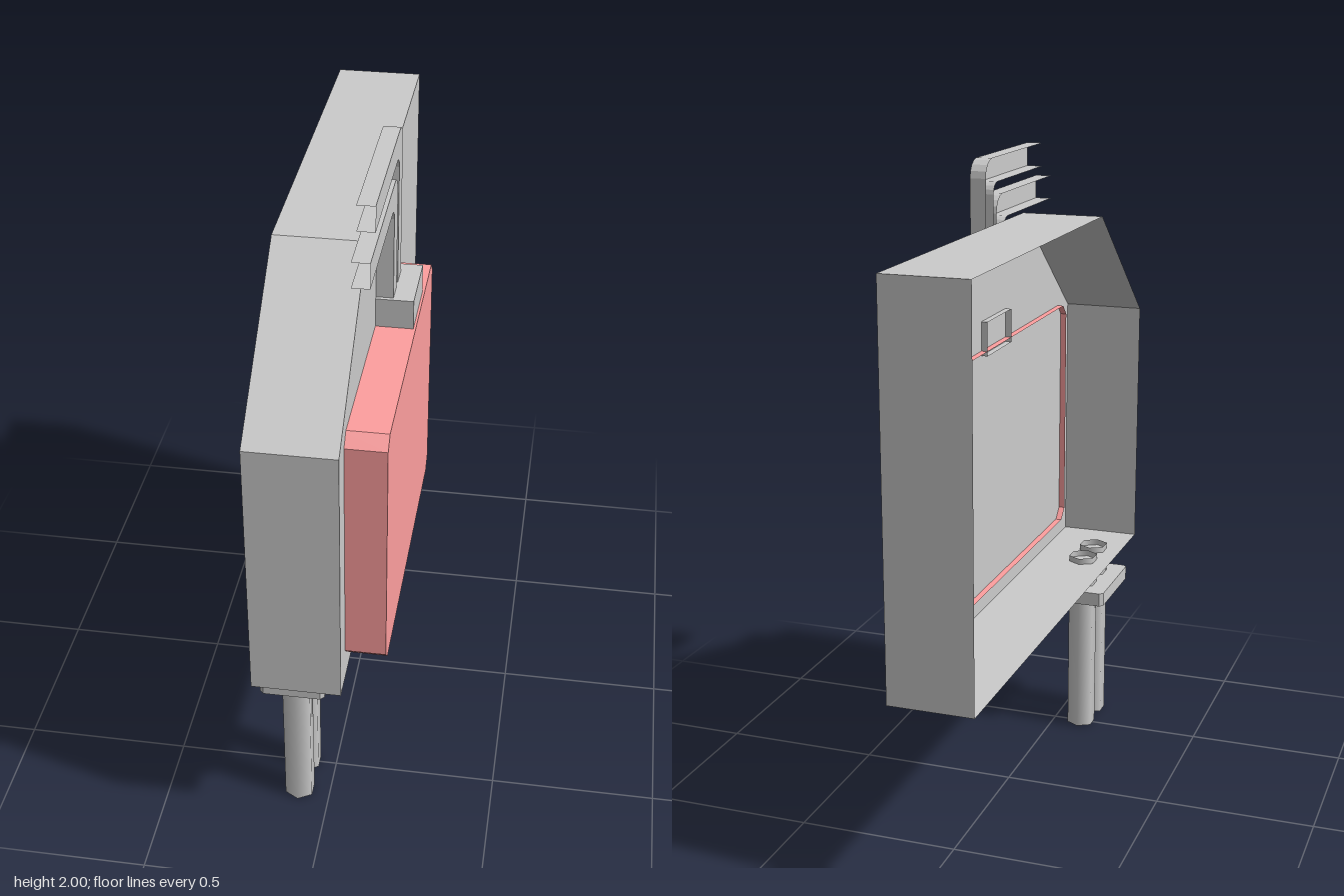
import * as THREE from 'three';
import { mergeGeometries } from 'three/addons/utils/BufferGeometryUtils.js';

const grey = new THREE.MeshStandardMaterial({ color: 0xcccccc, flatShading: true, side: THREE.DoubleSide });
const pipeGrey = new THREE.MeshStandardMaterial({ color: 0xcccccc, side: THREE.DoubleSide });
const red = new THREE.MeshStandardMaterial({ color: 0xff9f9f, flatShading: true, side: THREE.DoubleSide });

// Thin open-backed tray: a [z, y] outline (anticlockwise seen from +x) with walls
// from x0 to x1 and a face at x1. The face may be inset; edges in skip get no wall.
function tray(outline, x0, x1, { inset = 0, skip = [] } = {}) {
  const back = outline.map(([z, y]) => new THREE.Vector2(-z, y));
  const c = new THREE.Box2().setFromPoints(back).getCenter(new THREE.Vector2());
  const front = back.map(p => new THREE.Vector2(
    p.x - inset * Math.sign(p.x - c.x), p.y - inset * Math.sign(p.y - c.y)));
  const pos = [];
  back.forEach((a, i) => {
    if (skip.includes(i)) return;
    const j = (i + 1) % back.length;
    const b = back[j], A = front[i], B = front[j];
    pos.push(a.x, a.y, x0, b.x, b.y, x0, B.x, B.y, x1);
    pos.push(a.x, a.y, x0, B.x, B.y, x1, A.x, A.y, x1);
  });
  const walls = new THREE.BufferGeometry();
  walls.setAttribute('position', new THREE.Float32BufferAttribute(pos, 3));
  walls.computeVertexNormals();
  const face = new THREE.ShapeGeometry(new THREE.Shape(front)).toNonIndexed();
  face.deleteAttribute('uv');
  face.translate(0, 0, x1);
  return mergeGeometries([walls, face]).rotateY(Math.PI / 2);
}

// Rectangle outline with cut corners
function rect(zMin, zMax, yMin, yMax, cut = 0) {
  if (!cut) return [[zMax, yMin], [zMin, yMin], [zMin, yMax], [zMax, yMax]];
  return [
    [zMax - cut, yMin], [zMin + cut, yMin], [zMin, yMin + cut], [zMin, yMax - cut],
    [zMin + cut, yMax], [zMax - cut, yMax], [zMax, yMax - cut], [zMax, yMin + cut],
  ];
}

// Quarter bend from the upright run to the level run
function bend(z, y, r) {
  return Array.from({ length: 5 }, (_, i) => {
    const a = (i / 4) * Math.PI / 2;
    return [z + r - r * Math.cos(a), y - r + r * Math.sin(a)];
  });
}

// Bent channel, open at its ends and towards the panel
function conduit(z, top, zEnd) {
  const t = 0.067, h = 0.074, base = 1.5;
  const outline = [
    [z, base], ...bend(z, top, 0.055), [zEnd, top],
    [zEnd, top - h], ...bend(z + t, top - h, 0.035).reverse(), [z + t, base],
  ];
  return tray(outline, 0.07, 0.12, { skip: [6, outline.length - 1] });
}

export function createModel() {
  const model = new THREE.Group();
  const add = (name, geometry, material = grey) => {
    const mesh = new THREE.Mesh(geometry, material);
    mesh.name = name;
    model.add(mesh);
    return mesh;
  };

  // Open-backed housing with a sloped front corner
  add('housing', tray([[0.82, 0.6], [-0.82, 0.6], [-0.82, 1.8], [0.34, 1.8], [0.82, 1.42]], -0.19, 0.07));

  // Covers on the side panel; the large one pokes a little through it
  add('largeCover', tray(rect(-0.255, 0.74, 0.665, 1.435, 0.035), 0.05, 0.187), red);
  add('smallCover', tray(rect(-0.74, -0.512, 0.675, 0.86), 0.07, 0.105, { inset: 0.01 }), red);

  // Socket block and the two bent conduits rising from it
  add('conduitSocket', tray(rect(-0.05, 0.167, 1.42, 1.525), 0.05, 0.18));
  add('tallConduit', conduit(-0.005, 2, 0.525));
  add('shortConduit', conduit(0.088, 1.885, 0.615));

  // Six-sided open pipes below
  for (const [name, z] of [['frontPipe', 0.62], ['rearPipe', 0.498]]) {
    add(name, new THREE.CylinderGeometry(0.048, 0.048, 0.62, 6, 1, true), pipeGrey)
      .position.set(-0.095, 0.31, z);
  }

  // Clamp plate holding the pipes
  const clampShape = new THREE.Shape(
    rect(-0.153, 0.153, -0.097, 0.097, 0.012).map(([z, x]) => new THREE.Vector2(x, -z)));
  const clamp = new THREE.ExtrudeGeometry(clampShape, { depth: 0.045, bevelEnabled: false });
  add('pipeClamp', clamp.rotateX(-Math.PI / 2)).position.set(-0.095, 0.474, 0.56);

  return model;
}
